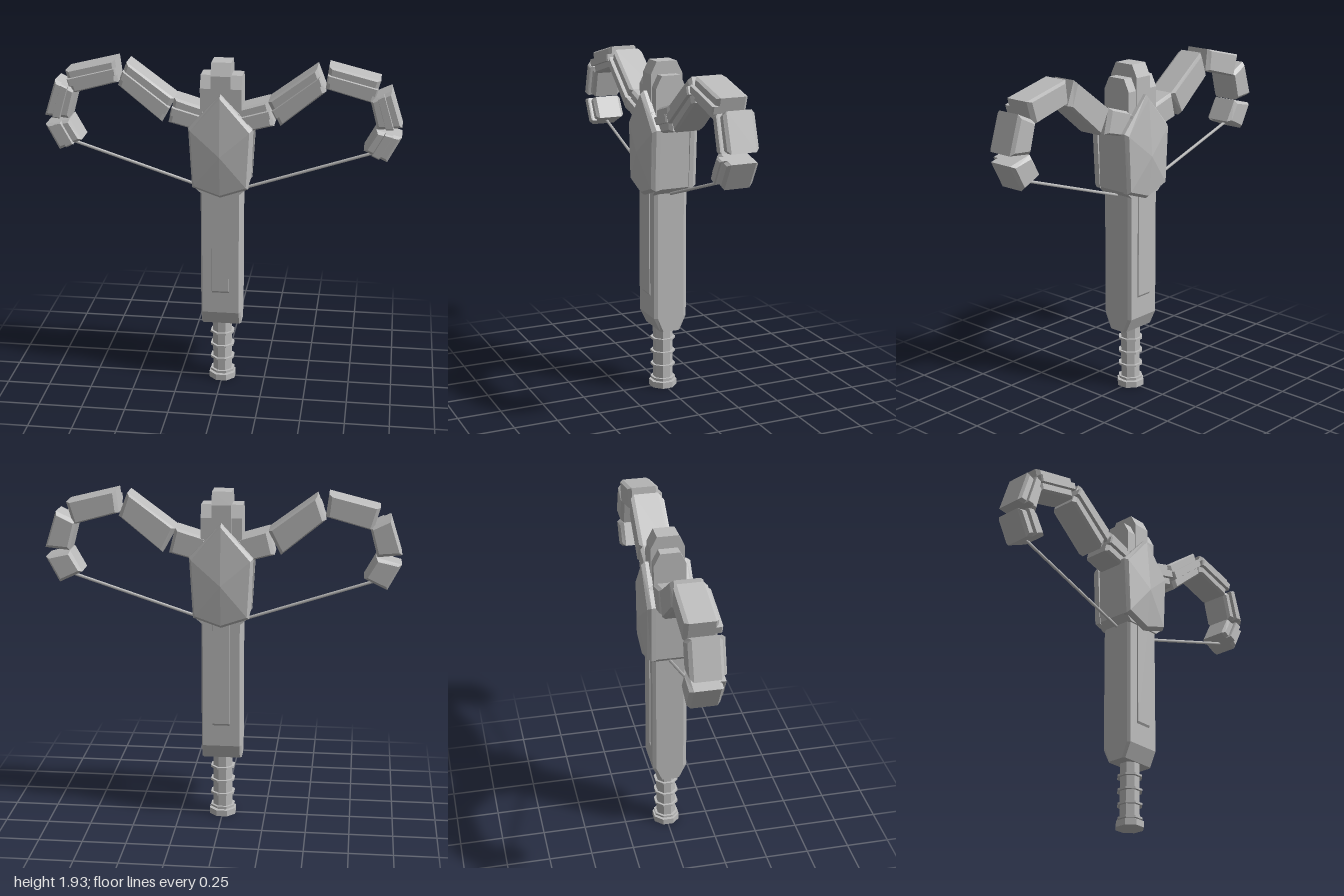
import * as THREE from 'three';

const grey = new THREE.MeshStandardMaterial({ color: 0xbcbcbc });

// Faceted solid: counter-clockwise [x, y] loops stacked along z, capped at both ends
function loft(sections) {
  const pos = [];
  const n = sections[0].loop.length;
  const at = (s, i) => [...s.loop[i % n], s.z];
  const tri = (a, b, c) => pos.push(...a, ...b, ...c);
  for (let k = 0; k < sections.length - 1; k++) {
    const a = sections[k], b = sections[k + 1];
    for (let i = 0; i < n; i++) {
      tri(at(a, i), at(a, i + 1), at(b, i + 1));
      tri(at(a, i), at(b, i + 1), at(b, i));
    }
  }
  const first = sections[0], last = sections[sections.length - 1];
  for (let i = 1; i < n - 1; i++) {
    tri(at(first, 0), at(first, i + 1), at(first, i));
    tri(at(last, 0), at(last, i), at(last, i + 1));
  }
  const g = new THREE.BufferGeometry();
  g.setAttribute('position', new THREE.Float32BufferAttribute(pos, 3));
  g.computeVertexNormals();
  return g;
}

const mirror = (loop) => loop.map(([x, y]) => [-x, y]).reverse();
const lerp = (a, b, t) => [a[0] + (b[0] - a[0]) * t, a[1] + (b[1] - a[1]) * t];

// Move every corner of a loop toward its centre by a fixed distance
function inset(loop, d) {
  const c = [0, 1].map((k) => loop.reduce((s, p) => s + p[k], 0) / loop.length);
  return loop.map((p) => lerp(p, c, d / Math.hypot(p[0] - c[0], p[1] - c[1])));
}

// Rectangle with cut corners, half sizes w and h
const cutRect = (w, h, cx, cy) => [
  [w - cx, -h], [w, -h + cy], [w, h - cy], [w - cx, h],
  [-w + cx, h], [-w, h - cy], [-w, -h + cy], [-w + cx, -h],
];

export function createModel() {
  const model = new THREE.Group();
  const add = (name, geometry) => {
    const m = new THREE.Mesh(geometry, grey);
    m.name = name;
    model.add(m);
    return m;
  };

  // Octagonal grip with rings and pommel
  const octagon = (name, r, y0, y1) => {
    const g = new THREE.CylinderGeometry(r, r, y1 - y0, 8).toNonIndexed();
    g.computeVertexNormals();
    g.rotateY(Math.PI / 8).translate(0, (y0 + y1) / 2, 0);
    add(name, g);
  };
  octagon('grip', 0.058, 0.02, 0.4);
  octagon('pommel', 0.081, 0, 0.036);
  for (let i = 0; i < 4; i++) octagon('gripRing', 0.073, 0.046 + i * 0.082, 0.058 + i * 0.082);

  // Long stock, narrowing front to back at its foot
  add('stock', loft([
    { loop: cutRect(0.115, 0.06, 0.01, 0.015), z: 0.37 },
    { loop: cutRect(0.115, 0.1, 0.01, 0.02), z: 0.455 },
    { loop: cutRect(0.115, 0.1, 0.01, 0.02), z: 1.4 },
  ]).rotateX(-Math.PI / 2));

  // Slim raised panels on the stock, front and back
  add('stockPanel', loft([
    { loop: cutRect(0.05, 0.1, 0.001, 0.001), z: 0.58 },
    { loop: cutRect(0.05, 0.107, 0.001, 0.001), z: 0.592 },
    { loop: cutRect(0.05, 0.107, 0.001, 0.001), z: 1.3 },
  ]).rotateX(-Math.PI / 2));

  // Crest: a tall centre block between two lower cheeks
  const crest = (name, x0, x1, top, half) => add(name, loft([x0, x1].map((z) => ({
    z,
    loop: [[-half, 1.3], [half, 1.3], [half, top - 0.07], [half - 0.035, top],
      [-half + 0.035, top], [-half, top - 0.07]],
  }))).rotateY(Math.PI / 2));
  crest('crestCentre', -0.055, 0.055, 1.932, 0.095);
  crest('crestCheekLeft', 0.05, 0.115, 1.86, 0.09);
  crest('crestCheekRight', -0.115, -0.05, 1.86, 0.09);

  // Hub core between the two shields
  const shield = [[0, 1.17], [0.158, 1.225], [0.178, 1.57], [0, 1.765], [-0.178, 1.57], [-0.158, 1.225]];
  const core = [[-0.11, 1.19], [0.11, 1.19], [0.155, 1.23], [0.165, 1.56], [0.1, 1.66],
    [-0.1, 1.66], [-0.165, 1.56], [-0.155, 1.23]];
  add('hubCore', loft([{ loop: core, z: -0.11 }, { loop: core, z: 0.11 }]));

  // Faceted pointed shields, front and back
  const shieldGeometry = loft([
    { loop: shield, z: 0.09 },
    { loop: shield, z: 0.115 },
    { loop: inset(shield, 0.018), z: 0.137 },
    { loop: shield.map(() => [0, 1.42]), z: 0.163 },
  ]);
  add('frontShield', shieldGeometry);
  add('backShield', shieldGeometry.clone().rotateY(Math.PI));

  // Arm segments: outer start, inner start, inner end, outer end
  const segments = [
    [[0.05, 1.665], [0.06, 1.525], [0.295, 1.587], [0.26, 1.728]],
    [[0.258, 1.722], [0.33, 1.588], [0.575, 1.79], [0.524, 1.92]],
    [[0.588, 1.932], [0.572, 1.807], [0.833, 1.735], [0.87, 1.862]],
    [[0.93, 1.808], [0.815, 1.755], [0.86, 1.587], [0.996, 1.602]],
    [[0.996, 1.548], [0.856, 1.585], [0.79, 1.465], [0.92, 1.403]],
  ];
  for (const side of ['Left', 'Right']) {
    const flip = (loop) => (side === 'Left' ? loop : mirror(loop));
    for (const s of segments) {
      const q = flip(s);
      add('armSegment' + side, loft([
        { loop: inset(q, 0.022), z: -0.092 },
        { loop: q, z: -0.072 },
        { loop: q, z: 0.068 },
        { loop: inset(q, 0.022), z: 0.085 },
      ]));
      // Raised rail along the front of the segment
      const [a, b, c, d] = s;
      const rail = flip([lerp(a, b, 0.34), lerp(a, b, 0.66), lerp(d, c, 0.66), lerp(d, c, 0.34)]);
      add('armRail' + side, loft([
        { loop: rail, z: 0.06 },
        { loop: rail, z: 0.098 },
        { loop: inset(rail, 0.008), z: 0.106 },
      ]));
    }
    // Bowstring half, from arm tip to stock
    const k = side === 'Left' ? 1 : -1;
    const path = new THREE.LineCurve3(
      new THREE.Vector3(0.87 * k, 1.44, 0), new THREE.Vector3(0.09 * k, 1.183, 0));
    add('string' + side, new THREE.TubeGeometry(path, 1, 0.009, 6));
  }
  return model;
}
